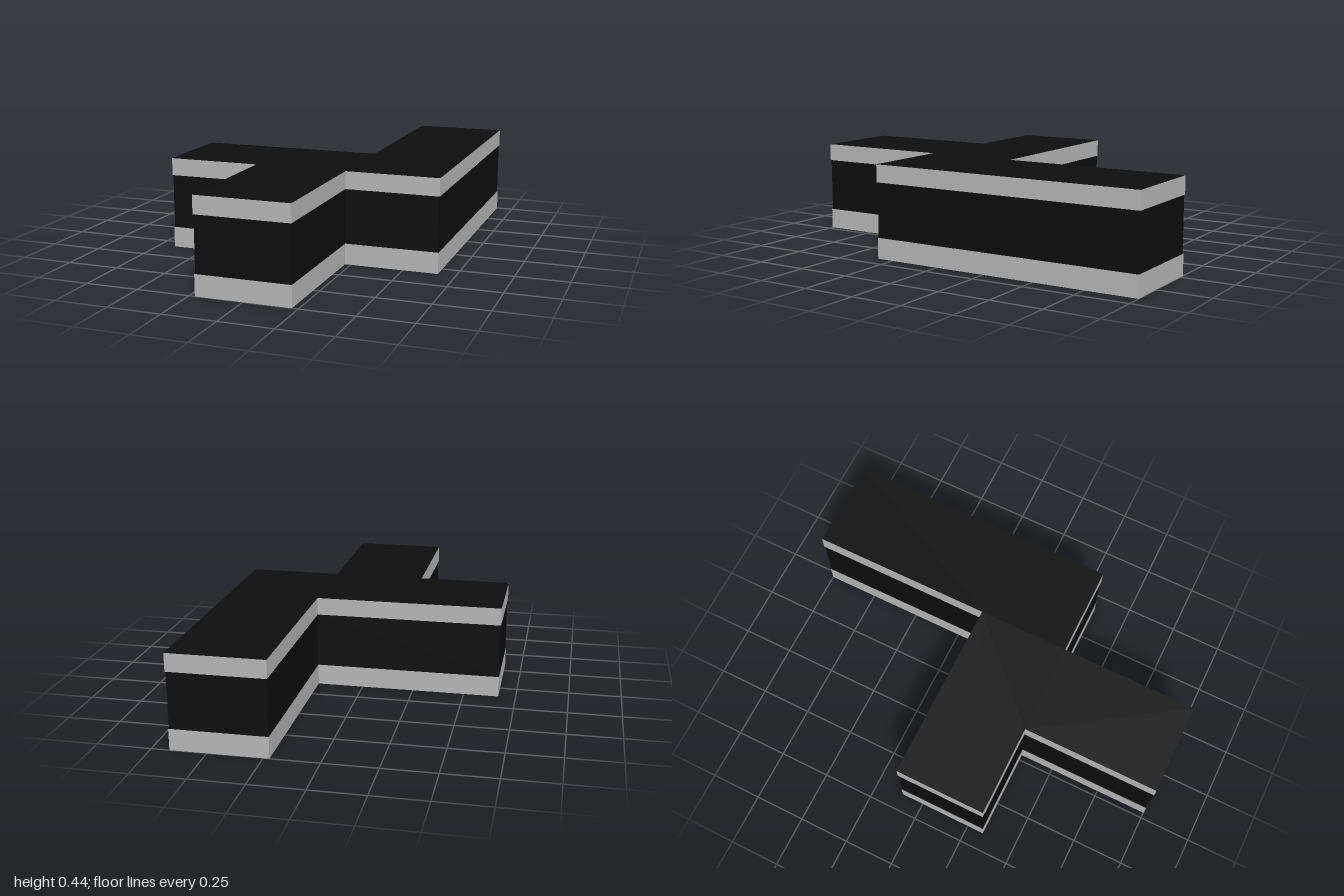
import * as THREE from 'three';

const black = new THREE.MeshStandardMaterial({ name: 'black', color: 0x0d0d0d });
const grey = new THREE.MeshStandardMaterial({ name: 'grey', color: 0xb5b5b5 });

// Plan outline: crossbar, front stem and long back arm, drawn with -z as up.
// The inset d pulls every edge inward.
function planShape(d) {
  const stem = 0.222 - d, side = 0.667 - d, end = 1 - d;
  const barFront = -0.333 + d, barBack = 0.111 - d;
  return new THREE.Shape([
    [-stem, -end], [stem, -end], [stem, barFront], [side, barFront],
    [side, end], [0.222 + d, end], [0.222 + d, barBack], [-side, barBack],
    [-side, barFront], [-stem, barFront],
  ].map(([x, y]) => new THREE.Vector2(x, y)));
}

// Horizontal slab between two heights, with separate cap and wall colours
function slab(name, y0, y1, inset, wall) {
  const geometry = new THREE.ExtrudeGeometry(planShape(inset), { depth: y1 - y0, bevelEnabled: false });
  geometry.rotateX(-Math.PI / 2).translate(0, y0, 0);
  const mesh = new THREE.Mesh(geometry, [black, wall]);
  mesh.name = name;
  return mesh;
}

export function createModel() {
  const model = new THREE.Group();
  model.name = 'branchedBlock';
  model.add(
    slab('lowerBand', 0, 0.1, 0, grey),
    slab('core', 0.1, 0.36, 0.003, black),
    slab('upperBand', 0.36, 0.444, 0, grey),
  );
  return model;
}
